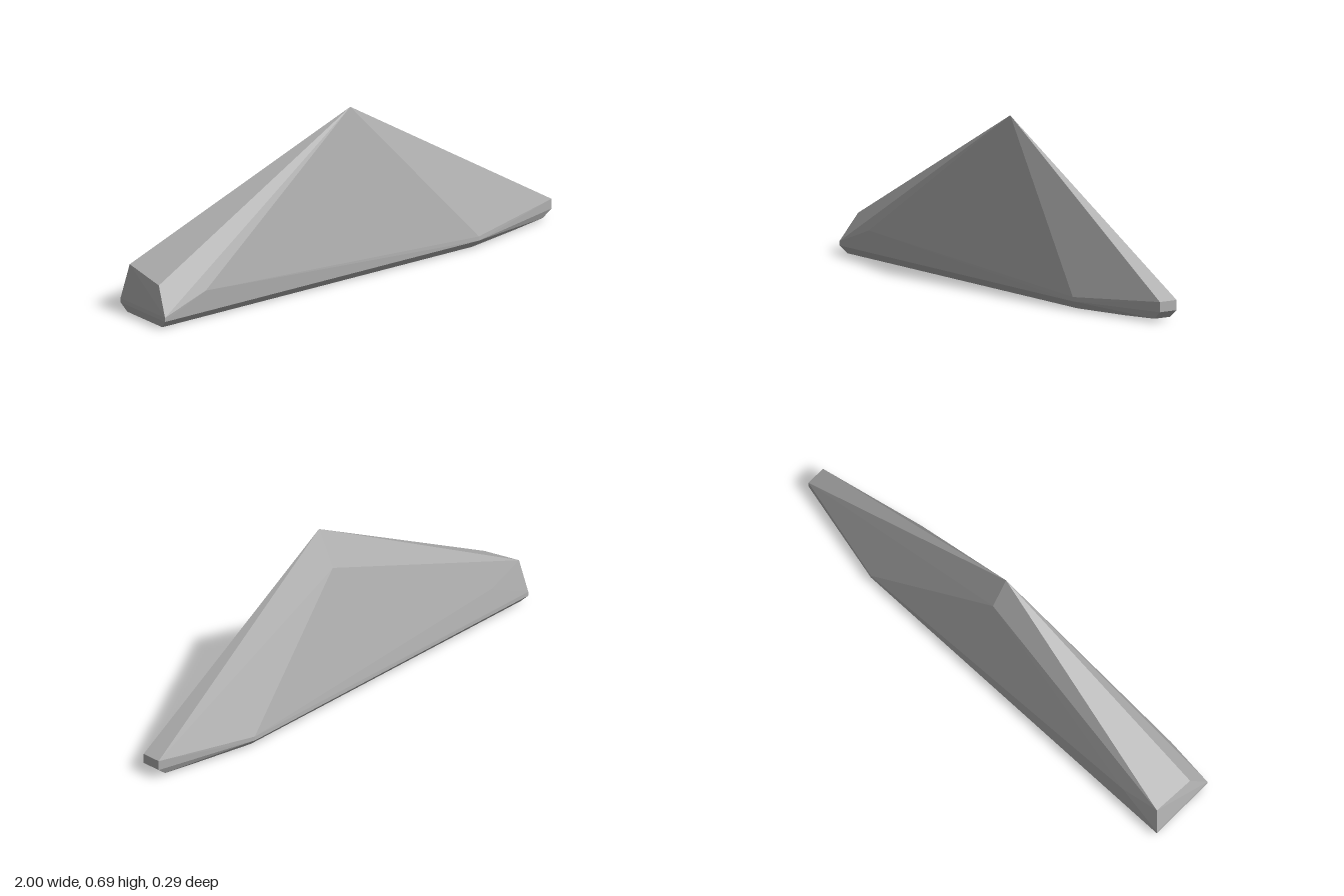
import * as THREE from 'three';
import { ConvexGeometry } from 'three/addons/geometries/ConvexGeometry.js';

// Faceted rock: a convex boulder with an off-centre peak, a blunt end and a tapered tip.
export function createModel() {
  const group = new THREE.Group();
  group.name = 'rock';
  const stone = new THREE.MeshStandardMaterial({ color: 0xb0b0b0 });
  stone.name = 'grey stone';

  const points = [];
  const add = (x, y, z) => points.push(new THREE.Vector3(x, y, z));
  const addPair = (x, y, z) => { add(x, y, z); add(x, y, -z); };

  // peak and its lower back shoulder
  add(0, 0.688, 0.041);
  add(0, 0.54, -0.034);

  // blunt end: sloping top edge and side bulges
  add(-0.975, 0.195, -0.118);
  add(-0.975, 0.16, 0.072);
  add(-0.8, 0.122, 0.148);
  add(-0.8, 0.14, -0.131);
  addPair(-1, 0.05, 0.145);

  // widest rim, just above the ground
  addPair(-1, 0.033, 0.145);
  addPair(0.56, 0.05, 0.145);
  addPair(0.56, 0.033, 0.146);

  // tapered tip
  addPair(1, 0.082, 0.041);
  addPair(1, 0.041, 0.041);
  addPair(0.96, 0.009, 0.037);

  // flat underside
  addPair(-0.99, 0, 0.114);
  addPair(0.55, 0, 0.114);
  addPair(0.8, 0.003, 0.065);

  const body = new THREE.Mesh(new ConvexGeometry(points), stone);
  body.name = 'rockBody';
  group.add(body);
  return group;
}
